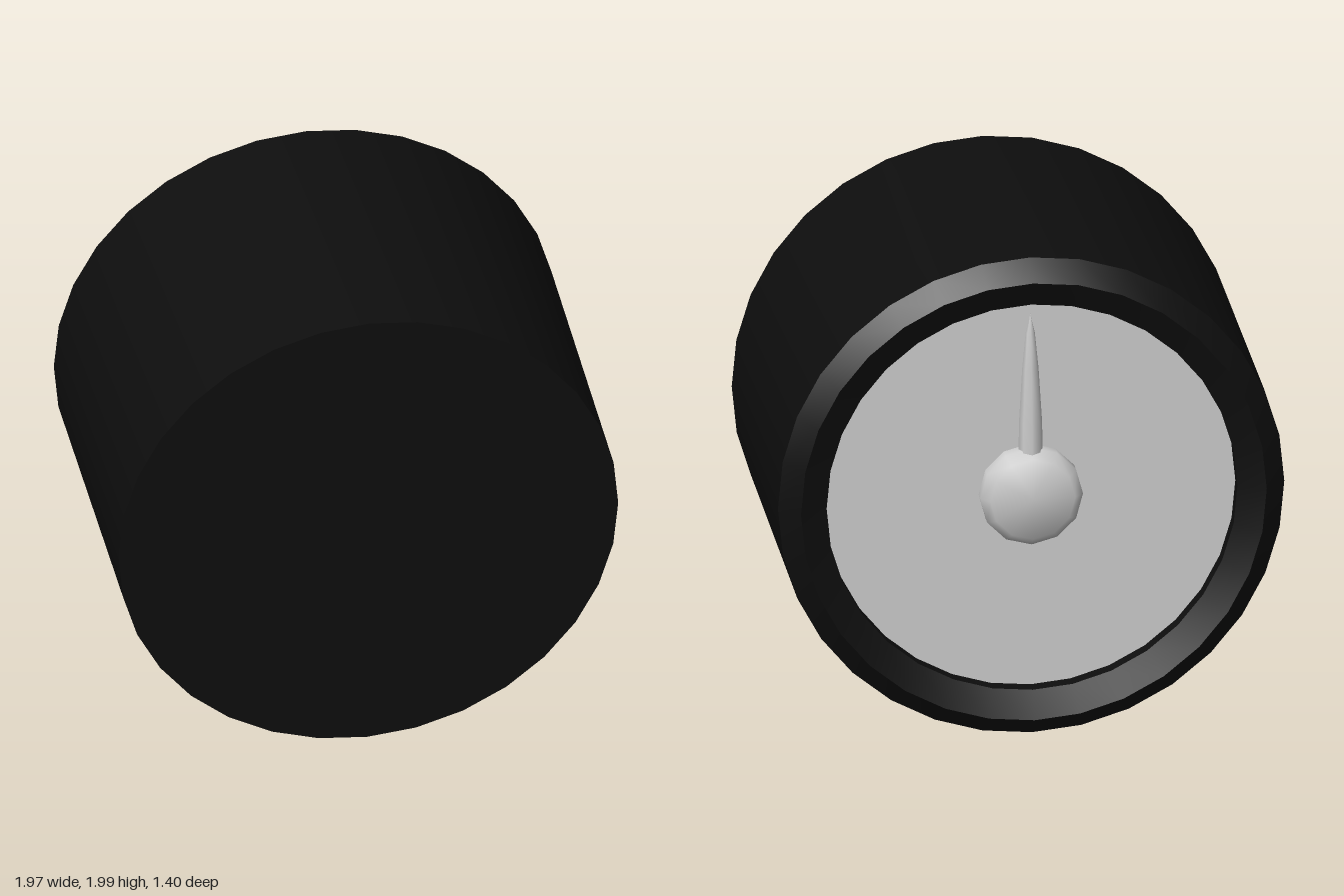
import * as THREE from 'three';
import { toCreasedNormals } from 'three/addons/utils/BufferGeometryUtils.js';

const black = new THREE.MeshStandardMaterial({ color: 0x0e0e0e });
const grey = new THREE.MeshStandardMaterial({ color: 0xcccccc });

// Revolve [radius, depth] points; depth runs towards the back (-z).
function turned(name, profile, sides, material, crease) {
  const points = profile.map(([r, d]) => new THREE.Vector2(r, d));
  const geometry = new THREE.LatheGeometry(points, sides).rotateX(-Math.PI / 2);
  const mesh = new THREE.Mesh(toCreasedNormals(geometry, crease), material);
  mesh.name = name;
  return mesh;
}

export function createModel() {
  const model = new THREE.Group();
  model.name = 'gauge';

  // The whole instrument leans slightly, its dial facing back and up.
  const gauge = new THREE.Group();
  gauge.name = 'tiltedGauge';
  gauge.position.y = 1;
  gauge.rotation.x = 0.022;
  model.add(gauge);

  // Drum with a closed end, a chamfered rim and a recess for the dial
  gauge.add(turned('housing', [
    [0, -0.68], [0.981, -0.68], [0.986, 0.605], [0.907, 0.68],
    [0.8, 0.63], [0.8, 0.565], [0, 0.565],
  ], 32, black, 0.6));

  // Dial plate at the bottom of the recess
  const dial = new THREE.Mesh(new THREE.CircleGeometry(0.8, 32), grey);
  dial.name = 'dial';
  dial.rotation.y = Math.PI;
  dial.position.z = -0.572;
  gauge.add(dial);

  // Bevelled hub in the middle of the dial
  gauge.add(turned('hub', [
    [0.2, 0.565], [0.2, 0.62], [0.165, 0.655], [0, 0.655],
  ], 12, grey, 0.9));

  // Tapered needle pointing up
  const profile = [[0.048, 0.12], [0.045, 0.3], [0.032, 0.52], [0.018, 0.67], [0, 0.75]];
  const needle = new THREE.Mesh(
    new THREE.LatheGeometry(profile.map(([r, y]) => new THREE.Vector2(r, y)), 8), grey);
  needle.name = 'needle';
  needle.position.z = -0.595;
  gauge.add(needle);

  return model;
}
